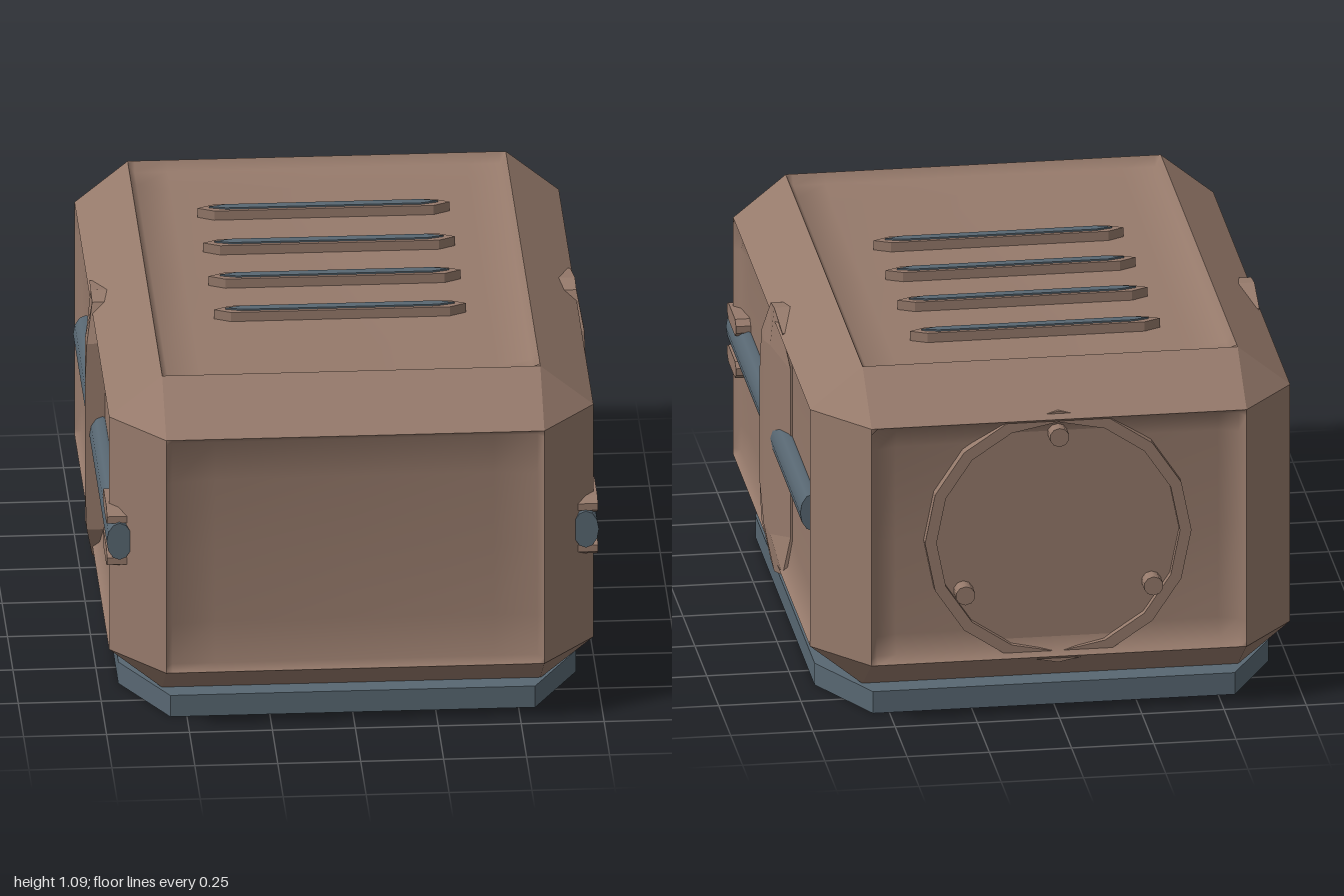
import * as THREE from 'three';

const shell = new THREE.MeshStandardMaterial({ color: 0x967a6b });
shell.name = 'warm brown';
const steel = new THREE.MeshStandardMaterial({ color: 0x586772 });
steel.name = 'slate steel';

// Body half sizes, chamfer sizes and centre
const H = [0.73, 0.512, 0.995], C = [0.16, 0.13, 0.19], MID = [0, 0.578, 0.005];

function add(parent, name, geo, mat, x = 0, y = 0, z = 0) {
  const m = new THREE.Mesh(geo, mat);
  m.name = name;
  m.position.set(x, y, z);
  parent.add(m);
  return m;
}

function fromTriangles(pts) {
  const g = new THREE.BufferGeometry();
  g.setAttribute('position', new THREE.Float32BufferAttribute(pts.flatMap(p => p.toArray()), 3));
  g.computeVertexNormals();
  return g;
}

// Chamfer strips and corner triangles of the box; its large faces are dishes
function chamferGeometry() {
  const out = [];
  const P = (axis, s) => new THREE.Vector3(...[0, 1, 2].map(i => s[i] * (H[i] - (i === axis ? 0 : C[i]))));
  const tri = (a, b, c) => {
    const n = b.clone().sub(a).cross(c.clone().sub(a));
    if (n.dot(a) < 0) out.push(a, c, b); else out.push(a, b, c);
  };
  for (const u of [-1, 1]) for (const v of [-1, 1]) {
    for (let k = 0; k < 3; k++) {
      const a = (k + 1) % 3, b = (k + 2) % 3, s = [0, 0, 0], t = [0, 0, 0];
      s[a] = t[a] = u; s[b] = t[b] = v; s[k] = -1; t[k] = 1;
      tri(P(a, s), P(b, s), P(b, t));
      tri(P(a, s), P(b, t), P(a, t));
    }
    for (const w of [-1, 1]) tri(P(0, [u, v, w]), P(1, [u, v, w]), P(2, [u, v, w]));
  }
  return fromTriangles(out);
}

// Rectangular panel sunk behind a thin lip, with a softly sloped wall
function dishGeometry(w, h, depth, slope) {
  const g = new THREE.PlaneGeometry(w, h, 6, 6), p = g.attributes.position;
  const place = (i, size) => {
    const e = [0, 0.02, slope, size / 2, size - slope, size - 0.02, size][i];
    return [e - size / 2, Math.min(e, size - e)];
  };
  for (let i = 0; i < p.count; i++) {
    const [x, ex] = place(i % 7, w), [y, ey] = place(Math.floor(i / 7), h);
    const e = Math.min(ex, ey);
    p.setXYZ(i, x, -y, e < 0.01 ? 0 : e < 0.03 ? -0.6 * depth : -depth);
  }
  g.computeVertexNormals();
  return g;
}

function flatShape(points) {
  return new THREE.Shape(points.map(([x, y]) => new THREE.Vector2(x, y)));
}

// Long hexagon with pointed ends, lying flat
function slatGeometry(half, width, height) {
  const w = width / 2, t = half - 0.05;
  return new THREE.ExtrudeGeometry(
    flatShape([[-half, 0], [-t, -w], [t, -w], [half, 0], [t, w], [-t, w]]),
    { depth: height, bevelEnabled: false }).rotateX(-Math.PI / 2);
}

// Wedge-shaped side band lofted from rows: z, bottom y, top y, face x, end x
function bandGeometry() {
  const rows = [
    [0.08, 0.27, 0.88, 0.66, 0.66], [0.08, 0.27, 0.88, 0.755, 0.75],
    [0.02, 0.16, 0.99, 0.752, 0.73], [-0.05, 0.15, 1.0, 0.742, 0.73],
    [-0.19, 0.19, 0.97, 0.7, 0.725], [-0.19, 0.19, 0.97, 0.66, 0.66]
  ].map(([z, a, b, f, e]) => [[0.66, a], [e, a], [f, a + 0.12], [f, b - 0.12], [e, b], [0.66, b]]
    .map(([x, y]) => new THREE.Vector3(x, y, z)));
  const out = [];
  for (let i = 0; i < rows.length - 1; i++) for (let j = 0; j < 5; j++) {
    const a = rows[i][j], b = rows[i][j + 1], c = rows[i + 1][j], d = rows[i + 1][j + 1];
    out.push(a, c, b, b, c, d);
  }
  return fromTriangles(out);
}

// Rounded rail running along z
function railGeometry(z0, z1) {
  const g = new THREE.CylinderGeometry(0.06, 0.06, z1 - z0, 12);
  g.rotateX(Math.PI / 2).scale(0.65, 1, 1);
  return g.translate(0.703, 0.58, (z0 + z1) / 2);
}

function buildSide(side) {
  const g = new THREE.Group();
  g.name = side > 0 ? 'leftSide' : 'rightSide';
  const band = bandGeometry();
  if (side < 0) {
    // Mirror the band and restore its winding
    band.scale(-1, 1, 1);
    const p = band.attributes.position, a = new THREE.Vector3(), b = new THREE.Vector3();
    for (let i = 0; i < p.count; i += 3) {
      a.fromBufferAttribute(p, i + 1); b.fromBufferAttribute(p, i + 2);
      p.setXYZ(i + 1, b.x, b.y, b.z); p.setXYZ(i + 2, a.x, a.y, a.z);
    }
    band.computeVertexNormals();
  }
  add(g, 'sideBand', band, shell);

  const rails = new THREE.Group();
  rails.name = 'railAssembly';
  add(rails, 'frontRail', railGeometry(0.03, 0.88), steel);
  add(rails, 'rearRail', railGeometry(-0.68, 0.03), steel);
  // Clamp jaws above and below the front end of the rail
  const jaw = flatShape([[0.68, -0.012], [0.7, -0.028], [0.84, -0.028], [0.87, -0.01], [0.87, 0.012], [0.84, 0.026], [0.7, 0.026], [0.68, 0.01]]);
  for (const y of [0.512, 0.648])
    add(rails, 'railClamp', new THREE.ExtrudeGeometry(jaw, { depth: 0.065, bevelEnabled: false })
      .rotateY(-Math.PI / 2), shell, 0.74, y, 0);
  // A half turn about z mirrors the symmetric rail assembly
  if (side < 0) {
    rails.rotation.z = Math.PI;
    rails.position.y = 1.16;
  }
  g.add(rails);
  return g;
}

export function createModel() {
  const model = new THREE.Group();
  model.name = 'container';

  // Chamfered body with sunken panels
  const body = new THREE.Group();
  body.name = 'body';
  body.position.set(...MID);
  model.add(body);
  add(body, 'chamferedFrame', chamferGeometry(), shell);
  const [fx, fy, fz] = H.map((h, i) => 2 * (h - C[i]));
  add(body, 'frontPanel', dishGeometry(fx, fy, 0.04, 0.15), shell, 0, 0, H[2]);
  add(body, 'backPanel', dishGeometry(fx, fy, 0.05, 0.08), shell, 0, 0, -H[2]).rotation.y = Math.PI;
  add(body, 'topPanel', dishGeometry(fx, fz, 0.05, 0.12), shell, 0, H[1], 0).rotation.x = -Math.PI / 2;
  for (const s of [-1, 1])
    add(body, 'sidePanel', dishGeometry(fz, fy, 0.035, 0.1), shell, s * H[0], 0, 0).rotation.y = s * Math.PI / 2;

  // Base plate with cut corners
  const corners = [[0.55, 0.88], [-0.55, 0.88], [-0.69, 0.62], [-0.69, -0.62], [-0.55, -0.88], [0.55, -0.88], [0.69, -0.62], [0.69, 0.62]];
  add(model, 'basePlate', new THREE.ExtrudeGeometry(flatShape(corners), { depth: 0.07, bevelEnabled: false })
    .rotateX(-Math.PI / 2), steel);

  // Roof slats
  for (const z of [-0.48, -0.22, 0.03, 0.28]) {
    add(model, 'slatFrame', slatGeometry(0.38, 0.05, 0.035), shell, 0, 1.035, z);
    add(model, 'slatInsert', slatGeometry(0.345, 0.028, 0.008), steel, 0, 1.067, z);
  }

  // Round hatch on the back with a raised rim and three bolts
  const hatch = new THREE.Group();
  hatch.name = 'backHatch';
  hatch.position.set(0, 0.575, 0);
  model.add(hatch);
  add(hatch, 'hatchDisc', new THREE.CylinderGeometry(0.38, 0.38, 0.03, 16).rotateX(Math.PI / 2), shell, 0, 0, -0.935);
  const ring = new THREE.Shape().absarc(0, 0, 0.405, 0, Math.PI * 2);
  ring.holes.push(new THREE.Path().absarc(0, 0, 0.37, 0, Math.PI * 2, true));
  add(hatch, 'hatchRim', new THREE.ExtrudeGeometry(ring, { depth: 0.05, bevelEnabled: false, curveSegments: 8 }), shell, 0, 0, -0.972);
  for (let i = 0; i < 3; i++) {
    const a = Math.PI / 2 + i * Math.PI * 2 / 3;
    add(hatch, 'hatchBolt', new THREE.CylinderGeometry(0.03, 0.03, 0.07, 10).rotateX(Math.PI / 2), shell,
      0.33 * Math.cos(a), 0.33 * Math.sin(a), -0.965);
  }

  model.add(buildSide(1), buildSide(-1));
  return model;
}
